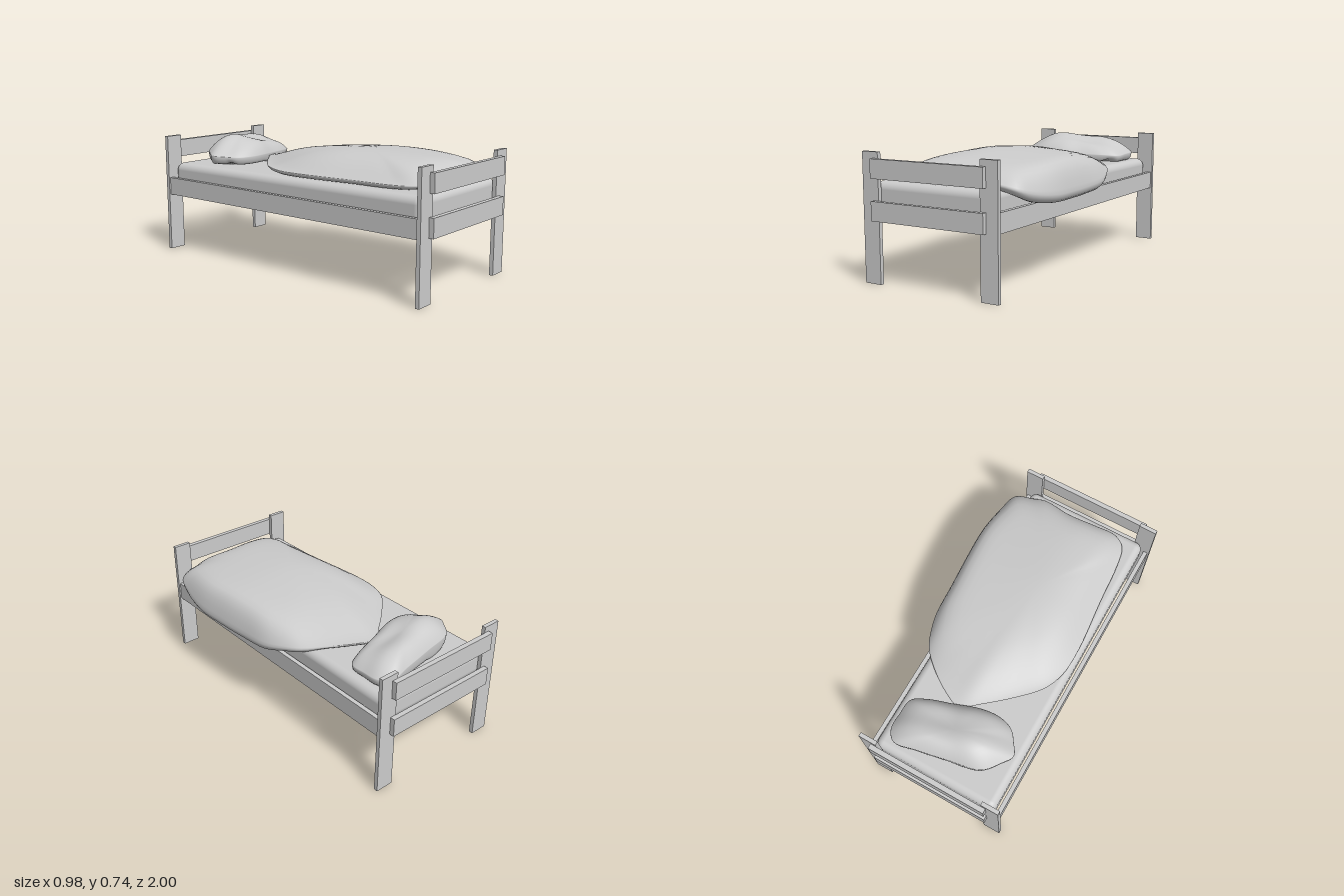
import * as THREE from 'three';
import { RoundedBoxGeometry } from 'three/addons/geometries/RoundedBoxGeometry.js';

const material = new THREE.MeshStandardMaterial({ color: 0xcccccc });

function add(parent, name, geometry) {
  const mesh = new THREE.Mesh(geometry, material);
  mesh.name = name;
  parent.add(mesh);
  return mesh;
}

// Box given by its limits on each axis
function board(parent, name, [x0, x1], [y0, y1], [z0, z1]) {
  const mesh = add(parent, name, new THREE.BoxGeometry(x1 - x0, y1 - y0, z1 - z0));
  mesh.position.set((x0 + x1) / 2, (y0 + y1) / 2, (z0 + z1) / 2);
}

// Stuffed cloth: concentric loops from a crown, over a free-form rim, to a base.
// Rim points are [x, z, y, fullness, lip depth]; fullness sets how late the top falls off.
function stuffed(rim, crown, baseY, bump, segments = 96) {
  const edge = new THREE.CatmullRomCurve3(rim.map(([x, z, y]) => new THREE.Vector3(x, y, z)), true);
  const form = new THREE.CatmullRomCurve3(rim.map((r) => new THREE.Vector3(r[3], r[4], 0)), true);
  const top = [0.12, 0.25, 0.38, 0.5, 0.6, 0.7, 0.78, 0.85, 0.9, 0.94, 0.97, 0.99, 1];
  const under = [[0.995, 0.3], [0.98, 0.65], [0.95, 0.9], [0.91, 1], [0.86, 0.95], [0.72, -1]];
  const positions = [crown.x, crown.y + bump(crown.x, crown.z), crown.z];
  const index = [];
  const ring = (t, height) => {
    for (let i = 0; i < segments; i++) {
      const e = edge.getPoint(i / segments);
      const f = form.getPoint(i / segments);
      const x = crown.x + (e.x - crown.x) * t;
      const z = crown.z + (e.z - crown.z) * t;
      positions.push(x, height(x, z, e.y, f.x, f.y), z);
    }
  };
  for (const t of top) {
    ring(t, (x, z, y, p) => crown.y + (y - crown.y) * t ** p + bump(x, z) * (1 - t ** 8));
  }
  for (const [t, k] of under) ring(t, (x, z, y, p, lip) => (k < 0 ? baseY : y - lip * k));
  const last = positions.length / 3;
  positions.push(crown.x, baseY, crown.z);

  const rings = top.length + under.length;
  for (let i = 0; i < segments; i++) {
    const j = (i + 1) % segments;
    index.push(0, 1 + j, 1 + i);
    for (let r = 0; r < rings - 1; r++) {
      const a = 1 + r * segments;
      const b = a + segments;
      index.push(a + i, a + j, b + i, a + j, b + j, b + i);
    }
    const a = 1 + (rings - 1) * segments;
    index.push(a + i, a + j, last);
  }
  const geometry = new THREE.BufferGeometry();
  geometry.setAttribute('position', new THREE.Float32BufferAttribute(positions, 3));
  geometry.setIndex(index);
  geometry.computeVertexNormals();
  return geometry;
}

const hill = (x, z, cx, cz, rx, rz) => Math.exp(-(((x - cx) / rx) ** 2) - ((z - cz) / rz) ** 2);

export function createModel() {
  const model = new THREE.Group();
  model.name = 'bed';

  // Frame: posts and cross rails at both ends
  const frame = new THREE.Group();
  frame.name = 'frame';
  model.add(frame);
  for (const [end, s] of [['foot', 1], ['head', -1]]) {
    const span = (a, b) => (s > 0 ? [a, b] : [-b, -a]);
    board(frame, end + 'PostRight', [-0.492, -0.384], [0, 0.733], span(0.947, 0.971));
    board(frame, end + 'PostLeft', [0.279, 0.387], [0, 0.733], span(0.947, 0.971));
    board(frame, end + 'UpperRail', [-0.415, 0.316], [0.59, 0.698], span(0.971, 1));
    board(frame, end + 'LowerRail', [-0.415, 0.316], [0.358, 0.467], span(0.971, 1));
  }
  // Long side rails
  board(frame, 'sideRailRight', [-0.482, -0.456], [0.358, 0.467], [-0.947, 0.947]);
  board(frame, 'sideRailLeft', [0.352, 0.378], [0.358, 0.467], [-0.947, 0.947]);

  // Mattress, sunk between the rails and a little lower at the head
  const mattress = add(model, 'mattress', new RoundedBoxGeometry(0.782, 0.154, 1.885, 6, 0.045));
  mattress.position.set(-0.054, 0.488, 0);
  mattress.rotation.x = -0.006;

  // Duvet, hanging over the left side
  const duvetRim = [
    [0.02, -0.53, 0.6, 4, 0.03], [0.13, -0.49, 0.6, 4, 0.03], [0.26, -0.4, 0.59, 5, 0.03],
    [0.36, -0.3, 0.565, 7, 0.04], [0.41, -0.2, 0.545, 9, 0.04], [0.45, -0.07, 0.52, 11, 0.05],
    [0.465, 0.12, 0.51, 13, 0.05], [0.48, 0.33, 0.51, 14, 0.05], [0.487, 0.55, 0.515, 14, 0.05],
    [0.455, 0.74, 0.54, 12, 0.05], [0.415, 0.84, 0.57, 10, 0.04], [0.3, 0.87, 0.595, 9, 0.03],
    [0.22, 0.89, 0.605, 9, 0.03], [0.05, 0.87, 0.615, 10, 0.03], [-0.12, 0.88, 0.615, 10, 0.03],
    [-0.27, 0.885, 0.61, 8, 0.03], [-0.34, 0.84, 0.6, 6, 0.025], [-0.37, 0.72, 0.595, 4, 0.025],
    [-0.39, 0.45, 0.595, 3.5, 0.025], [-0.42, 0.1, 0.595, 3.5, 0.025], [-0.41, -0.06, 0.595, 3.5, 0.025],
    [-0.36, -0.19, 0.6, 3.5, 0.025], [-0.24, -0.32, 0.6, 3.5, 0.025], [-0.09, -0.45, 0.6, 4, 0.03],
  ];
  const duvetSag = (x, z) =>
    -0.1 * (Math.hypot(x + 0.06, 0.1) - 0.1) - 0.08 * (Math.hypot(z - 0.3, 0.2) - 0.2);
  add(model, 'duvet', stuffed(duvetRim, new THREE.Vector3(-0.03, 0.722, 0.3), 0.565, duvetSag));

  // Pillow, with a raised corner and a soft valley
  const pillowRim = [
    [-0.4, -0.63, 0.625, 3, 0.05], [-0.36, -0.7, 0.635, 3.5, 0.06], [-0.28, -0.79, 0.64, 4, 0.07],
    [-0.1, -0.83, 0.635, 4, 0.07], [0.1, -0.87, 0.63, 4, 0.06], [0.23, -0.89, 0.62, 4, 0.05],
    [0.285, -0.83, 0.61, 4, 0.05], [0.29, -0.73, 0.605, 4, 0.045], [0.28, -0.63, 0.6, 4, 0.04],
    [0.2, -0.58, 0.605, 4, 0.04], [0.05, -0.53, 0.61, 4, 0.045], [-0.1, -0.48, 0.615, 5, 0.045],
    [-0.22, -0.47, 0.615, 5, 0.045], [-0.31, -0.5, 0.615, 4, 0.045], [-0.36, -0.56, 0.62, 3, 0.045],
  ];
  const pillowFolds = (x, z) =>
    0.045 * hill(x, z, -0.17, -0.68, 0.17, 0.1) + 0.018 * hill(x, z, 0.08, -0.78, 0.18, 0.07)
    - 0.02 * hill(x, z, 0.05, -0.65, 0.17, 0.06);
  add(model, 'pillow', stuffed(pillowRim, new THREE.Vector3(-0.05, 0.695, -0.68), 0.56, pillowFolds));

  return model;
}
